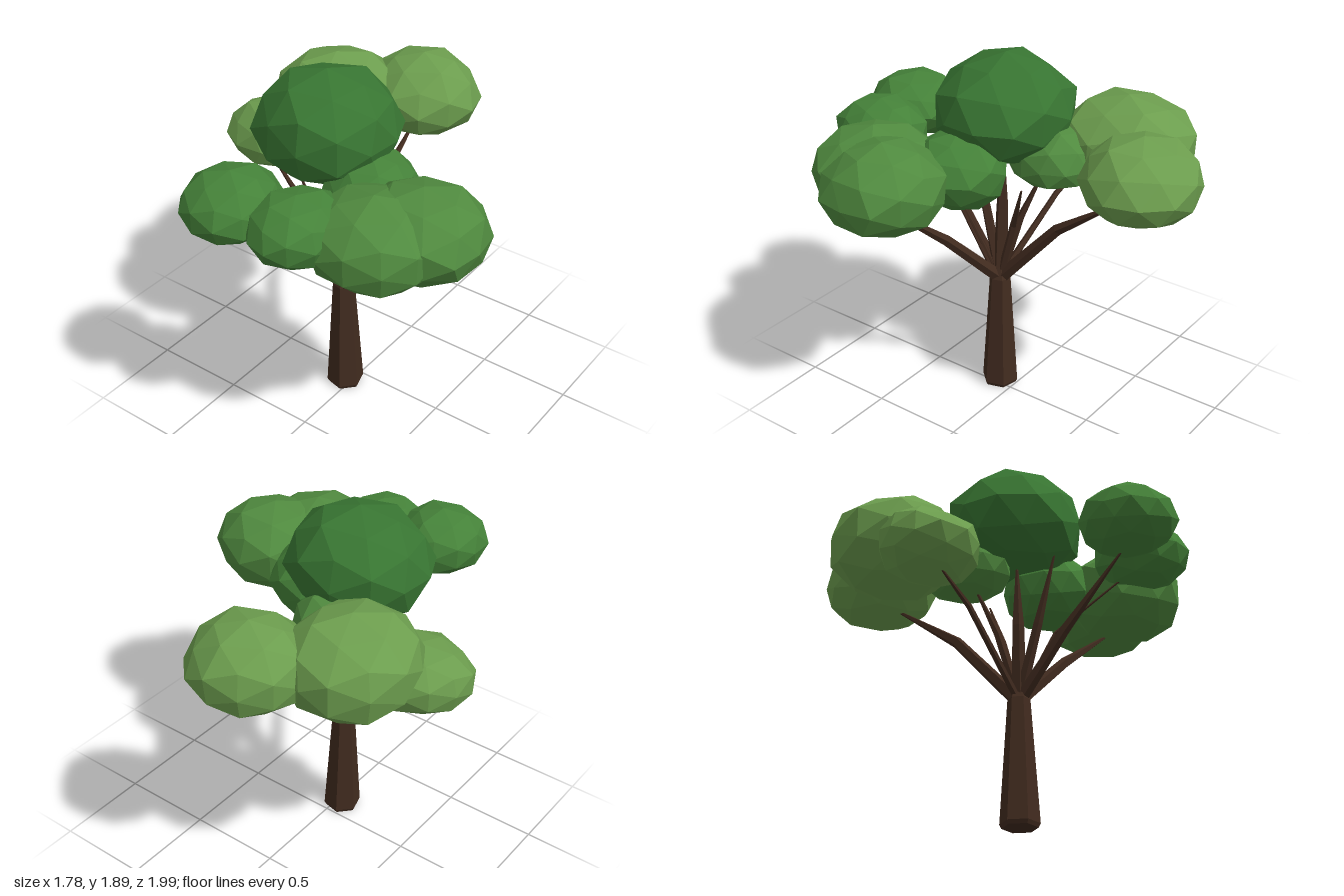
import * as THREE from 'three';

const bark = new THREE.MeshStandardMaterial({ color: 0x412b1f, flatShading: true });
const leaf = (color) => new THREE.MeshStandardMaterial({ color, flatShading: true });
const dark = leaf(0x387532), mid = leaf(0x458239), fresh = leaf(0x508a3f), light = leaf(0x6c9d4e);

// Faceted leaf clump: a lumpy low-poly dome with a flattened underside
function clump(name, material, [x, y, z], [rx, up, rz], down, turn) {
  const geo = new THREE.IcosahedronGeometry(1, 1);
  const p = geo.attributes.position;
  const v = new THREE.Vector3();
  const axis = new THREE.Vector3(0, 1, 0);
  for (let i = 0; i < p.count; i++) {
    v.fromBufferAttribute(p, i).applyAxisAngle(axis, turn);
    const lump = 1 + 0.05 * Math.sin(5 * v.x + 3 * v.y + turn * 7) * Math.cos(4 * v.z - 2 * v.y + turn);
    const h = v.y > 0 ? v.y * lump * up : Math.max(v.y * 1.3, -1) * down;
    p.setXYZ(i, x + v.x * lump * rx, y + h, z + v.z * lump * rz);
  }
  geo.computeVertexNormals();
  const mesh = new THREE.Mesh(geo, material);
  mesh.name = name;
  return mesh;
}

// Tapered limb through a few points, built from joined polygonal rings
function limb(name, points, radii, sides) {
  const pts = points.map((q) => new THREE.Vector3(...q));
  const pos = [], idx = [];
  pts.forEach((c, i) => {
    const dir = pts[Math.min(i + 1, pts.length - 1)].clone().sub(pts[Math.max(i - 1, 0)]).normalize();
    const turn = new THREE.Quaternion().setFromUnitVectors(new THREE.Vector3(0, 1, 0), dir);
    for (let k = 0; k < sides; k++) {
      const a = (k / sides) * Math.PI * 2 + 0.3;
      const q = new THREE.Vector3(Math.sin(a), 0, Math.cos(a)).multiplyScalar(radii[i]).applyQuaternion(turn).add(c);
      pos.push(q.x, q.y, q.z);
      if (i === 0) continue;
      const n = (k + 1) % sides, lo = (i - 1) * sides, hi = i * sides;
      idx.push(lo + k, lo + n, hi + n, lo + k, hi + n, hi + k);
    }
  });
  const last = (pts.length - 1) * sides;
  for (let k = 1; k < sides - 1; k++) idx.push(0, k + 1, k, last, last + k, last + k + 1);
  const geo = new THREE.BufferGeometry();
  geo.setAttribute('position', new THREE.Float32BufferAttribute(pos, 3));
  geo.setIndex(idx);
  geo.computeVertexNormals();
  const mesh = new THREE.Mesh(geo, bark);
  mesh.name = name;
  return mesh;
}

export function createModel() {
  const tree = new THREE.Group();
  tree.name = 'tree';

  // Trunk with a slightly chamfered foot
  tree.add(limb('trunk',
    [[-0.035, 0, 0.095], [-0.035, 0.02, 0.095], [-0.04, 0.66, 0.095], [-0.04, 0.73, 0.095]],
    [0.09, 0.1, 0.058, 0.025], 6));

  // Branches: bend, tip and base thickness
  const branches = new THREE.Group();
  branches.name = 'branches';
  [
    ['leftLowBranch', [-0.42, 1.03, 0.0], [-0.64, 1.17, -0.06], 0.02],
    ['rightBranch', [0.23, 0.95, 0.24], [0.54, 1.22, 0.38], 0.036],
    ['frontBranch', [-0.08, 0.97, 0.36], [-0.12, 1.33, 0.7], 0.034],
    ['frontInnerBranch', [0.02, 1.02, 0.27], [0.12, 1.3, 0.6], 0.01],
    ['backBranch', [-0.08, 1.03, -0.24], [-0.09, 1.3, -0.62], 0.038],
    ['backInnerBranch', [-0.03, 1.0, 0.0], [0.07, 1.27, -0.12], 0.024],
    ['crownBranch', [-0.08, 1.05, 0.11], [-0.09, 1.4, 0.11], 0.04],
    ['crownFrontBranch', [-0.08, 1.04, 0.22], [-0.11, 1.4, 0.33], 0.03],
    ['crownBackBranch', [-0.09, 1.02, 0.0], [-0.14, 1.32, -0.12], 0.026],
  ].forEach(([name, bend, tip, r]) => {
    branches.add(limb(name, [[-0.04, 0.65, 0.095], bend, tip], [r, r * 0.8, 0.005], 5));
  });
  tree.add(branches);

  // Leaf clumps: centre, radii (x, upward, z), depth below the centre, turn
  const foliage = new THREE.Group();
  foliage.name = 'foliage';
  [
    ['crownClump', dark, [-0.115, 1.59, 0.11], [0.37, 0.3, 0.355], 0.22, 0.2],
    ['backClump', light, [-0.1, 1.42, -0.7], [0.31, 0.24, 0.305], 0.16, 0.5],
    ['backLeftClump', light, [-0.45, 1.43, -0.4], [0.335, 0.25, 0.36], 0.21, 0.9],
    ['leftLowClump', light, [-0.625, 1.28, -0.12], [0.28, 0.165, 0.255], 0.135, 1.3],
    ['rightClump', fresh, [0.585, 1.36, 0.32], [0.32, 0.245, 0.305], 0.175, 0.0],
    ['frontRightClump', fresh, [0.44, 1.36, 0.5], [0.34, 0.235, 0.32], 0.175, 0.7],
    ['frontInnerClump', mid, [0.16, 1.42, 0.7], [0.22, 0.18, 0.255], 0.13, 1.1],
    ['frontClump', mid, [-0.18, 1.45, 0.75], [0.24, 0.175, 0.255], 0.135, 0.4],
    ['rightInnerClump', mid, [0.19, 1.36, 0.17], [0.24, 0.2, 0.25], 0.17, 0.3],
    ['backInnerClump', fresh, [-0.18, 1.37, -0.14], [0.23, 0.2, 0.25], 0.12, 0.8],
  ].forEach((c) => foliage.add(clump(...c)));
  tree.add(foliage);

  return tree;
}
